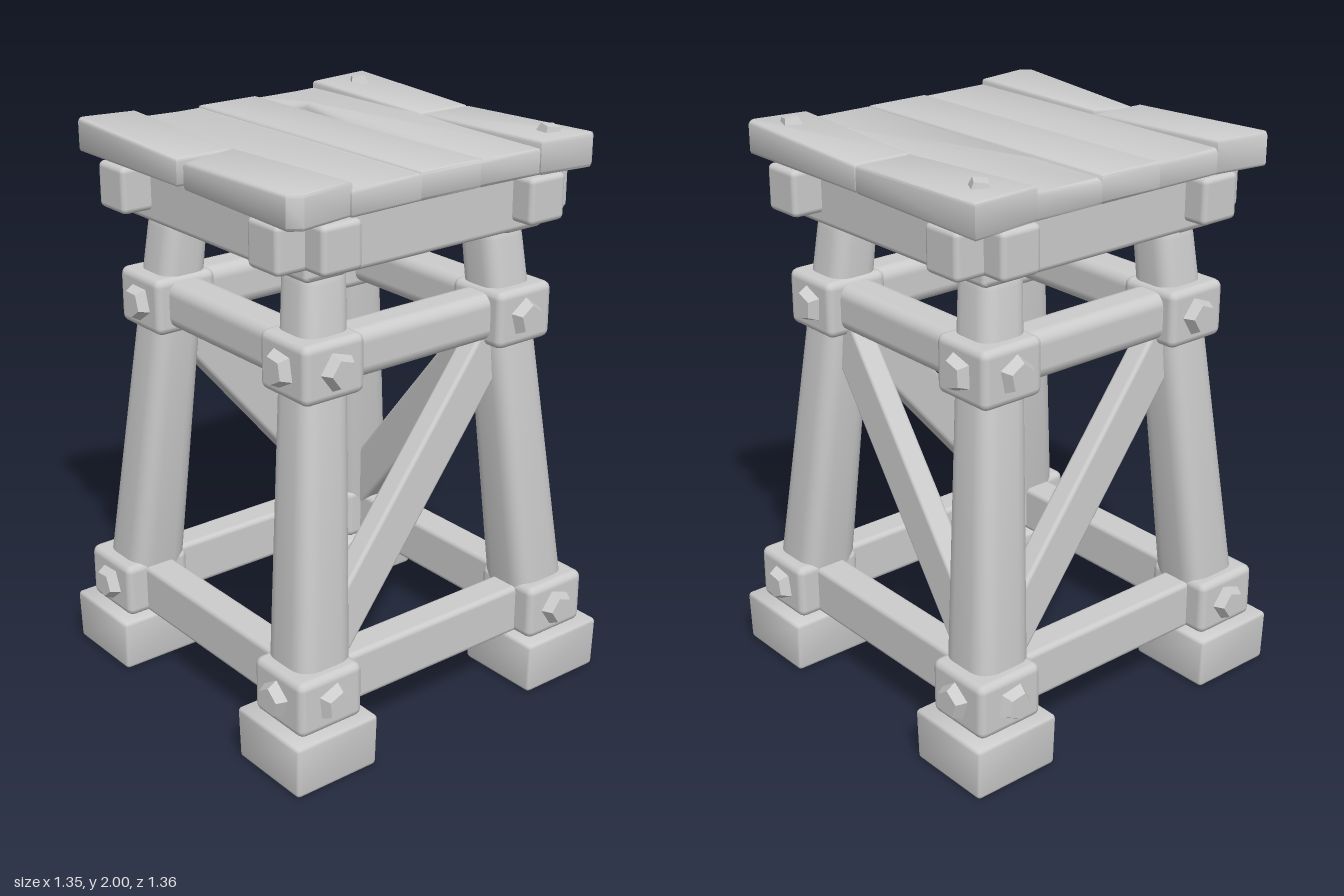
import * as THREE from 'three';
import { toCreasedNormals } from 'three/addons/utils/BufferGeometryUtils.js';
import { RoundedBoxGeometry } from 'three/addons/geometries/RoundedBoxGeometry.js';

const wood = new THREE.MeshStandardMaterial({ color: 0xcccccc });
const faceted = new THREE.MeshStandardMaterial({ color: 0xcccccc, flatShading: true });

export function createModel() {
  const model = new THREE.Group();

  const add = (name, geometry, x = 0, y = 0, z = 0, material = wood) => {
    const mesh = new THREE.Mesh(geometry, material);
    mesh.name = name;
    mesh.position.set(x, y, z);
    model.add(mesh);
    return mesh;
  };

  const block = (name, w, h, d, x, y, z, r = 0.02) =>
    add(name, new RoundedBoxGeometry(w, h, d, 2, r), x, y, z);

  // Move every vertex of a geometry by a rule, then rebuild its normals
  const reshape = (geometry, rule) => {
    const p = geometry.attributes.position;
    const v = new THREE.Vector3();
    for (let i = 0; i < p.count; i++) {
      rule(v.fromBufferAttribute(p, i));
      p.setXYZ(i, v.x, v.y, v.z);
    }
    return toCreasedNormals(geometry, 0.8);
  };

  // Beam between two points, with its thin side facing outward
  const brace = (name, from, to, outward) => {
    const a = new THREE.Vector3(...from), b = new THREE.Vector3(...to);
    const along = b.clone().sub(a);
    const length = along.length();
    along.normalize();
    const side = new THREE.Vector3(...outward).cross(along).normalize();
    const out = along.clone().cross(side);
    const mesh = add(name, new RoundedBoxGeometry(0.16, 0.085, length, 2, 0.015));
    mesh.quaternion.setFromRotationMatrix(new THREE.Matrix4().makeBasis(side, out, along));
    mesh.position.copy(a.add(b).multiplyScalar(0.5));
  };

  const bolt = (name, x, y, z, direction) => {
    const mesh = add(name, new THREE.CylinderGeometry(0.048, 0.075, 0.05, 5), x, y, z, faceted);
    mesh.quaternion.setFromUnitVectors(new THREE.Vector3(0, 1, 0), new THREE.Vector3(...direction));
    mesh.rotateY(x * 3 + z * 2 + y);
  };

  // Four corners: foot, leaning tapered leg, two bolted collars
  for (const sx of [-1, 1]) {
    for (const sz of [-1, 1]) {
      const foot = reshape(new RoundedBoxGeometry(0.33, 0.19, 0.335, 2, 0.015), v => {
        if (v.y < 0) { v.x *= 0.98; v.z *= 0.98; }
      });
      add('foot', foot, sx * 0.51, 0.095, sz * 0.514);

      const leg = reshape(new RoundedBoxGeometry(0.23, 1.54, 0.23, 3, 0.07), v => {
        const t = (v.y + 0.77) / 1.54;
        const scale = 1 - 0.26 * t;
        const lean = 0.505 - 0.135 * t;
        v.x = v.x * scale + sx * lean;
        v.z = v.z * scale + sz * lean;
      });
      add('leg', leg, 0, 0.93, 0);

      for (const [name, y, c, size, height] of [
        ['lowerCollar', 0.285, 0.508, 0.258, 0.2],
        ['upperCollar', 1.37, 0.405, 0.242, 0.2],
      ]) {
        block(name, size, height, size, sx * c, y, sz * c, 0.028);
        const face = c + size / 2 + 0.01;
        bolt(name + 'Bolt', sx * face, y, sz * (c - 0.005), [sx, 0, 0]);
        bolt(name + 'Bolt', sx * (c - 0.005), y, sz * face, [0, 0, sz]);
      }
    }
  }

  // Horizontal rails and the frame under the deck
  for (const s of [-1, 1]) {
    block('lowerRailAcross', 0.9, 0.182, 0.12, 0, 0.278, s * 0.5);
    block('lowerRailDeep', 0.12, 0.182, 0.9, s * 0.5, 0.278, 0);
    block('upperRailAcross', 0.72, 0.165, 0.15, 0, 1.373, s * 0.405, 0.045);
    block('upperRailDeep', 0.15, 0.165, 0.72, s * 0.405, 1.373, 0, 0.045);
    block('frameBeamAcross', 0.99, 0.205, 0.17, 0, 1.76, s * 0.413);
    block('frameBeamDeep', 0.17, 0.2, 0.99, s * 0.413, 1.762, 0);
    for (const e of [-1, 1]) {
      block('beamEndAcross', 0.2, 0.16, 0.155, e * 0.485, 1.78, s * 0.425);
      block('beamEndDeep', 0.155, 0.16, 0.2, e * 0.42, 1.78, s * 0.507);
    }
  }

  // Diagonal braces on the back and both sides; the front stays open
  brace('backBrace', [-0.43, 0.38, -0.48], [0.39, 1.325, -0.405], [0, 0, -1]);
  brace('leftBrace', [0.48, 0.38, 0.43], [0.405, 1.325, -0.39], [1, 0, 0]);
  brace('rightBrace', [-0.48, 0.38, -0.43], [-0.405, 1.325, 0.39], [-1, 0, 0]);

  // Deck planks, each cut from an outline of [x, z] corners
  const plank = (name, outline, top, rule) => {
    const shape = new THREE.Shape(outline.map(([x, z]) => new THREE.Vector2(x, -z)));
    const bevel = 0.012, bottom = 1.867;
    const geometry = new THREE.ExtrudeGeometry(shape, {
      depth: top - bottom - bevel * 2, steps: 1,
      bevelSize: bevel, bevelOffset: -bevel, bevelThickness: bevel, bevelSegments: 2,
    });
    geometry.rotateX(-Math.PI / 2);
    geometry.translate(0, bottom + bevel, 0);
    add(name, reshape(geometry, rule));
  };
  // Outer planks rise slightly towards their ends
  const rise = v => { if (v.y > 1.91) v.y += 0.022 * Math.abs(v.x) / 0.6; };
  const riseAndTilt = v => { rise(v); v.y += (0.51 - v.z) * 0.1 * (1 - v.x / 0.6); };
  // Inner planks lean a little so that their edges overlap in steps
  const lean = v => { if (v.y > 1.91) v.y += 0.02 * Math.sin(v.z * 24); };

  plank('backPlankRight', [[-0.62, -0.635], [-0.015, -0.612], [-0.015, -0.395], [-0.59, -0.375]], 1.96, rise);
  plank('backPlankLeft', [[-0.005, -0.61], [0.595, -0.605], [0.615, -0.58], [0.59, -0.375], [-0.005, -0.395]], 1.96, rise);
  plank('crackedPlank', [[-0.59, -0.4], [0.585, -0.4], [0.58, -0.124], [-0.02, -0.112],
    [-0.34, -0.155], [-0.4, -0.114], [-0.59, -0.114]], 1.957, lean);
  plank('middlePlank', [[-0.59, -0.116], [0.58, -0.126], [0.58, 0.125], [-0.59, 0.132]], 1.962, () => {});
  plank('innerFrontPlank', [[-0.59, 0.128], [0.58, 0.12], [0.59, 0.4], [-0.59, 0.4]], 1.955, lean);
  plank('frontPlankRight', [[-0.59, 0.39], [-0.015, 0.395], [-0.015, 0.61], [-0.6, 0.61], [-0.62, 0.59]], 1.96, rise);
  plank('frontPlankLeft', [[0.002, 0.405], [0.58, 0.39], [0.61, 0.59], [0.58, 0.635], [0.002, 0.595]], 1.958, riseAndTilt);

  // Small nails on the back corners of the deck
  for (const x of [-0.485, 0.495]) {
    const nail = add('deckNail', new THREE.CylinderGeometry(0.032, 0.045, 0.03, 4), x, 1.983, -0.505, faceted);
    nail.rotation.set(0, x > 0 ? 0.5 : 0.2, -0.15 * Math.sign(x));
  }

  return model;
}
